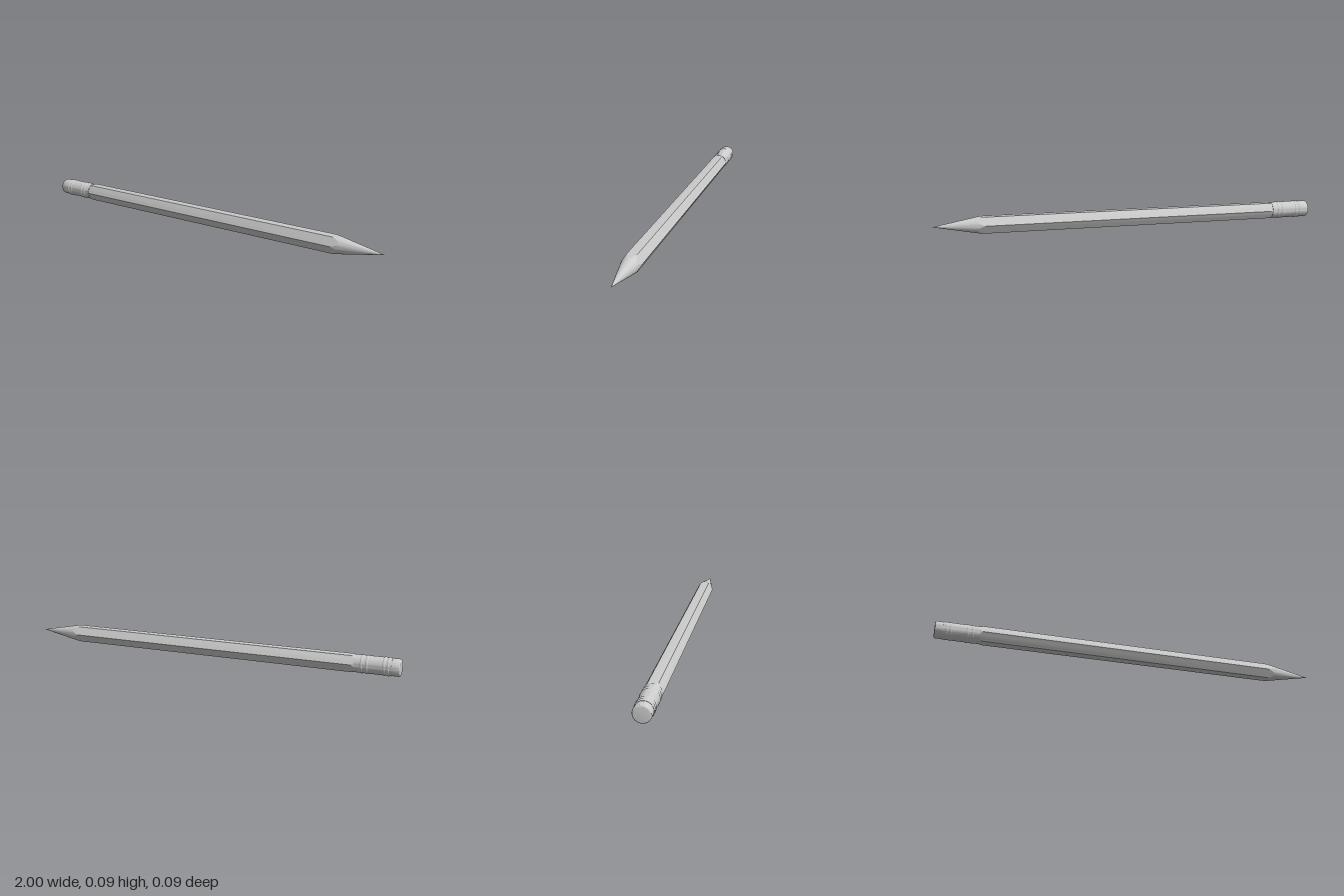
import * as THREE from 'three';
import { toCreasedNormals } from 'three/addons/utils/BufferGeometryUtils.js';

const SEGMENTS = 48;
const APOTHEM = 0.0405; // centre to flat of the hexagonal shaft
const SLOPE = 0.188;    // radius lost per unit length of the sharpened cone
const AXIS_Y = 0.045;
const LEAD_X = 0.93;    // where wood gives way to lead

const material = new THREE.MeshStandardMaterial({ color: 0xcccccc });

// Radius of the hexagon at an angle, corners at +z and -z
function hexRadius(angle) {
  const step = Math.PI / 3;
  const a = ((angle % step) + step) % step;
  return APOTHEM / Math.cos(a - step / 2);
}

// Sleeve along x; rows[i](hexagon radius) gives [x, radius] of each ring
function sleeve(rows) {
  const n = rows.length - 1;
  const geometry = new THREE.CylinderGeometry(1, 1, n, SEGMENTS, n, true);
  const p = geometry.attributes.position;
  for (let i = 0; i < p.count; i++) {
    const angle = Math.atan2(p.getX(i), p.getZ(i));
    const row = Math.round(p.getY(i) + n / 2);
    const [x, r] = rows[row](hexRadius(angle));
    p.setXYZ(i, Math.sin(angle) * r, x, Math.cos(angle) * r);
  }
  geometry.rotateZ(-Math.PI / 2);
  return toCreasedNormals(geometry, 0.4);
}

// Turned part along x from [x, radius] pairs
function turned(profile) {
  const points = profile.map(([x, r]) => new THREE.Vector2(r, x));
  const geometry = new THREE.LatheGeometry(points, SEGMENTS);
  geometry.rotateZ(-Math.PI / 2);
  return toCreasedNormals(geometry, 0.5);
}

export function createModel() {
  const group = new THREE.Group();
  const add = (name, geometry) => {
    const mesh = new THREE.Mesh(geometry, material);
    mesh.name = name;
    mesh.position.y = AXIS_Y;
    group.add(mesh);
  };

  // Hexagonal shaft, with a scalloped edge where the cone cuts its flats
  const coneEdge = (r) => [1 - r / SLOPE, r];
  add('shaft', sleeve([
    () => [-0.793, APOTHEM - 0.001],
    (r) => [-0.788 + (r - APOTHEM) * 2.5, r],
    coneEdge,
  ]));

  // Sharpened wood and lead
  add('sharpenedWood', sleeve([coneEdge, () => [LEAD_X, (1 - LEAD_X) * SLOPE]]));
  add('leadTip', turned([[LEAD_X, (1 - LEAD_X) * SLOPE], [0.995, 0.001], [1, 0]]));

  // Metal ferrule with pairs of raised rings
  const profile = [[-0.96, 0.041], [-0.96, 0.0432]];
  for (const x of [-0.945, -0.925, -0.845, -0.82]) {
    profile.push([x - 0.006, 0.0432], [x - 0.003, 0.045], [x + 0.003, 0.045], [x + 0.006, 0.0432]);
  }
  profile.push([-0.785, 0.0432], [-0.785, 0.038]);
  add('ferrule', turned(profile));

  // Eraser with a rounded end
  const eraser = [[-1, 0]];
  for (let i = 0; i <= 5; i++) {
    const a = (i / 5) * Math.PI / 2;
    eraser.push([-0.992 - 0.008 * Math.cos(a), 0.034 + 0.008 * Math.sin(a)]);
  }
  eraser.push([-0.955, 0.042]);
  add('eraser', turned(eraser));

  return group;
}
